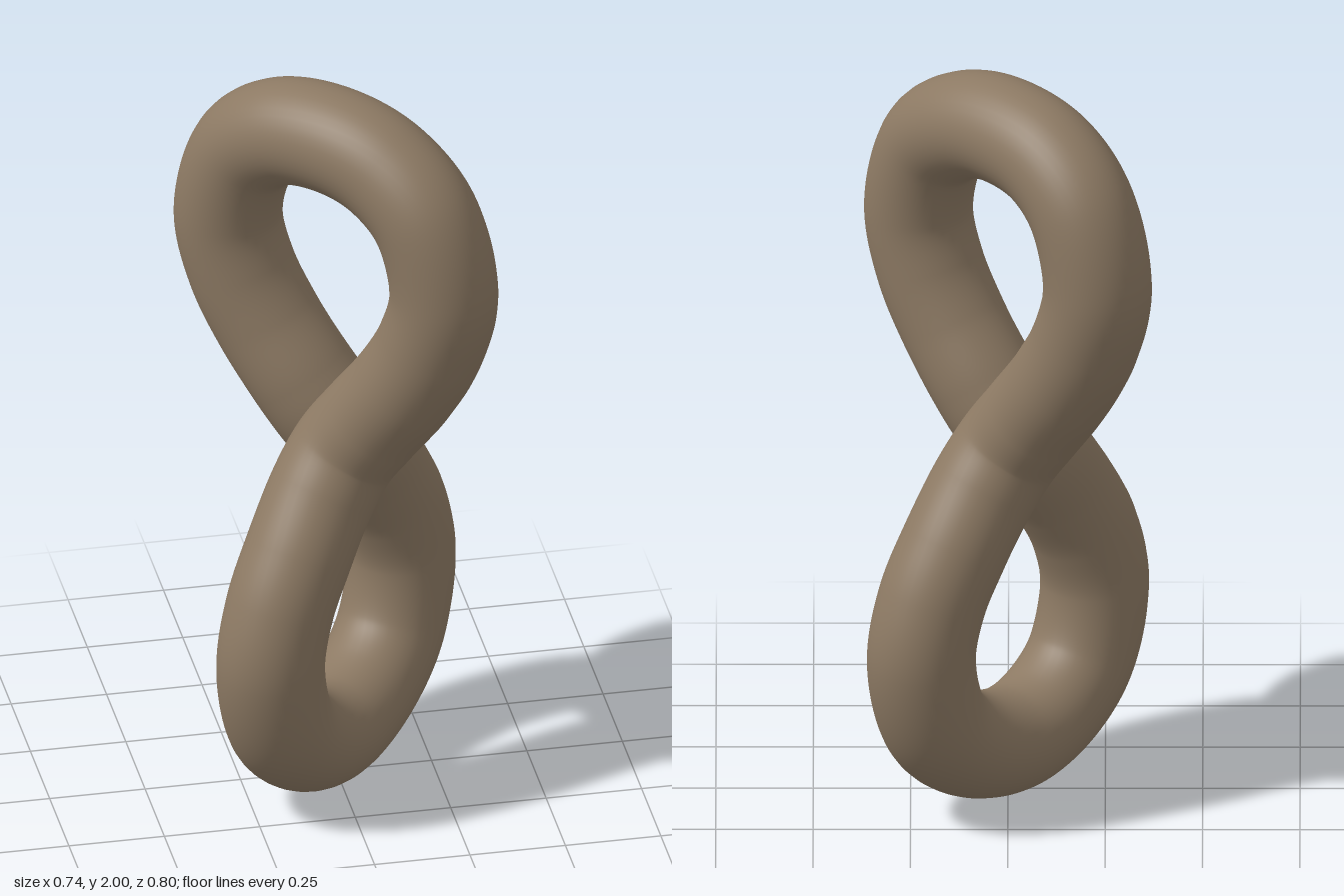
import * as THREE from 'three';

const RADIUS = 0.14;

export function createModel() {
  const model = new THREE.Group();
  model.name = 'twistedLoop';

  const clay = new THREE.MeshStandardMaterial({ color: 0x8c7963 });
  clay.name = 'warm brown';

  // Front strand: from the top, down through the crossing, to the bottom
  const strand = [
    [0.11, 1.825, 0.12], [0.19, 1.73, 0.215], [0.23, 1.53, 0.26], [0.2, 1.37, 0.24],
    [0.14, 1.23, 0.195], [0.065, 1.1, 0.135], [0, 1, 0.106], [-0.065, 0.9, 0.135],
    [-0.14, 0.76, 0.195], [-0.195, 0.63, 0.235], [-0.222, 0.47, 0.252],
    [-0.185, 0.275, 0.21], [-0.105, 0.175, 0.12],
  ].map((p) => new THREE.Vector3(...p));

  // The back strand is the front one turned half round the vertical axis
  const back = strand.map((p) => new THREE.Vector3(-p.x, p.y + 0.01, -p.z)).reverse();

  const path = new THREE.CatmullRomCurve3([
    new THREE.Vector3(0.01, 1.86, 0.012), ...strand,
    new THREE.Vector3(-0.01, 0.14, 0.012), ...back,
  ], true, 'centripetal');

  // One closed round tube with two loops at right angles
  const tube = new THREE.Mesh(new THREE.TubeGeometry(path, 320, RADIUS, 40, true), clay);
  tube.name = 'tube';
  model.add(tube);
  return model;
}
